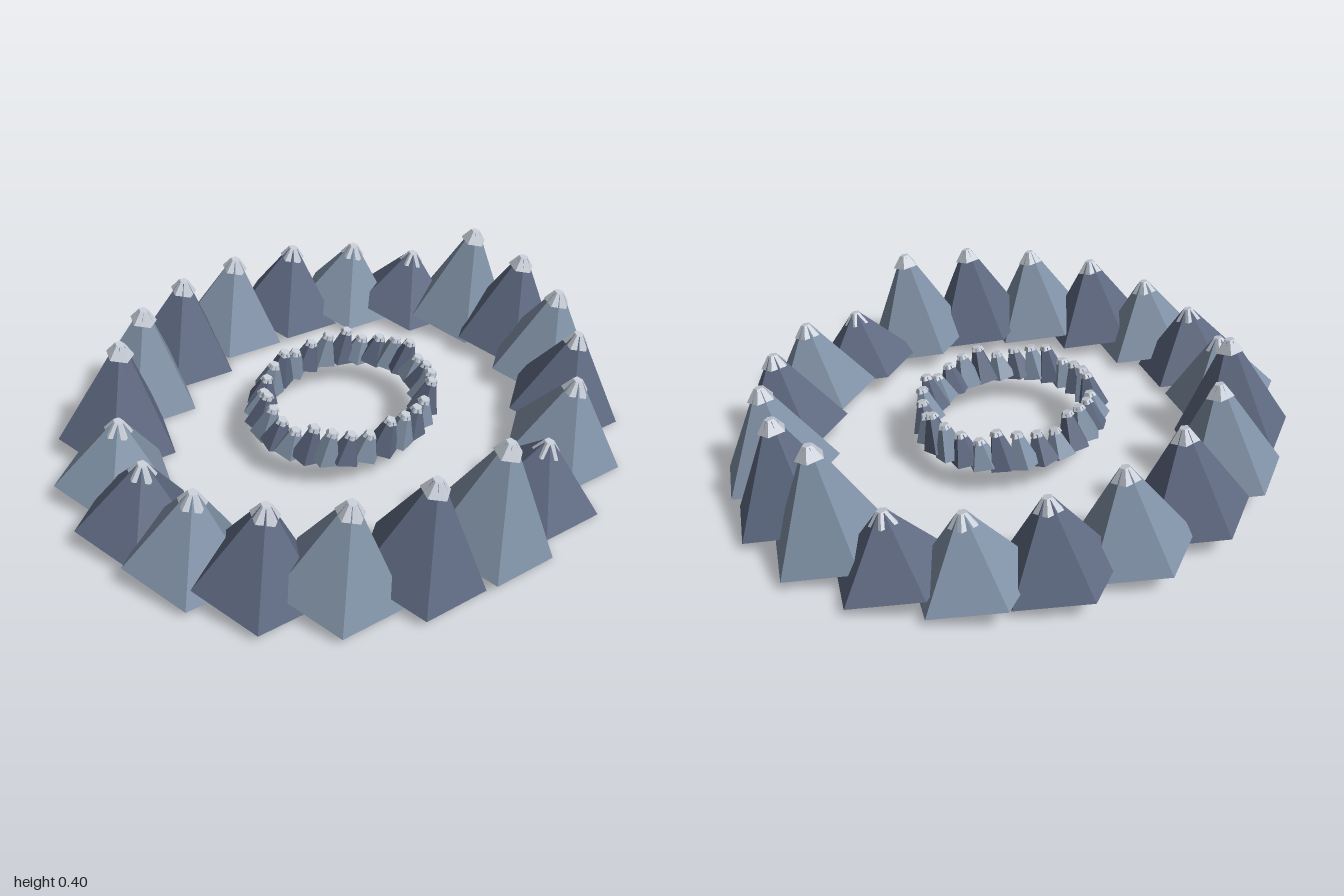
import * as THREE from 'three';

const mat = (name, color) => {
  const m = new THREE.MeshStandardMaterial({ color });
  m.name = name;
  return m;
};

// Five-sided tapered peak with its base at y = 0, leaned and tilted by a shear, faceted normals
function peakGeometry(rTop, rBase, y0, y1, turn, lean, tilt) {
  let g = new THREE.CylinderGeometry(rTop, rBase, y1 - y0, 5);
  g.rotateY(Math.PI + turn);
  g.translate(0, (y0 + y1) / 2, 0);
  g = g.toNonIndexed();
  const p = g.attributes.position;
  for (let i = 0; i < p.count; i++) {
    const x = p.getX(i), y = p.getY(i), z = p.getZ(i);
    p.setXYZ(i, x + lean * y, y - tilt * x + 0.05 * z, z - 0.06 * y);
  }
  g.computeVertexNormals();
  return g;
}

export function createModel() {
  const model = new THREE.Group();
  const light = mat('lightRock', 0x8091a6);
  const dark = mat('darkRock', 0x5e6981);
  const snow = mat('snow', 0xc6ccd6);

  const addPeak = (parent, name, o) => {
    const group = new THREE.Group();
    group.name = name;
    const capBase = o.h - o.capH;
    const body = new THREE.Mesh(
      peakGeometry(o.rTop, o.rBase, 0, o.h - 0.004, o.turn, o.lean, o.tilt), o.rock);
    body.name = 'rock';
    const cap = new THREE.Mesh(
      peakGeometry(o.rTop, o.rCap, capBase, o.h, o.turn + Math.PI / 5, o.lean, o.tilt), snow);
    cap.name = 'snowCap';
    group.add(body, cap);
    group.position.set(o.x, o.y, o.z);
    parent.add(group);
  };

  // Outer mountains, counted from the front towards +x, with summit heights
  const summits = [0.3, 0.33, 0.35, 0.375, 0.4, 0.25, 0.315, 0.33, 0.35, 0.375,
    0.4, 0.26, 0.285, 0.31, 0.335, 0.355, 0.375, 0.4, 0.275, 0.275];
  const outer = new THREE.Group();
  outer.name = 'outerMountainRing';
  summits.forEach((top, i) => {
    const a = (i / summits.length) * Math.PI * 2;
    addPeak(outer, 'mountain', {
      x: 0.718 * Math.sin(a), y: 0.041, z: 0.015 + 0.82 * Math.cos(a),
      h: top - 0.041, rTop: 0.016, rBase: 0.198, rCap: 0.046, capH: 0.042,
      turn: 0, lean: 0.1, tilt: 0.2, rock: i % 2 ? dark : light,
    });
  });

  // Inner ring of small steep spires
  const inner = new THREE.Group();
  inner.name = 'innerSpireRing';
  const count = 28;
  for (let i = 0; i < count; i++) {
    const a = (i / count) * Math.PI * 2;
    addPeak(inner, 'spire', {
      x: -0.008 + 0.265 * Math.sin(a), y: 0.1, z: 0.015 + 0.3 * Math.cos(a),
      h: 0.1 + 0.011 * ((i * 3) % 4 - 1), rTop: 0.016, rBase: 0.054, rCap: 0.023, capH: 0.014,
      turn: i * 1.1, lean: 0.25, tilt: 0.25, rock: i % 2 ? dark : light,
    });
  }

  model.add(outer, inner);
  return model;
}
